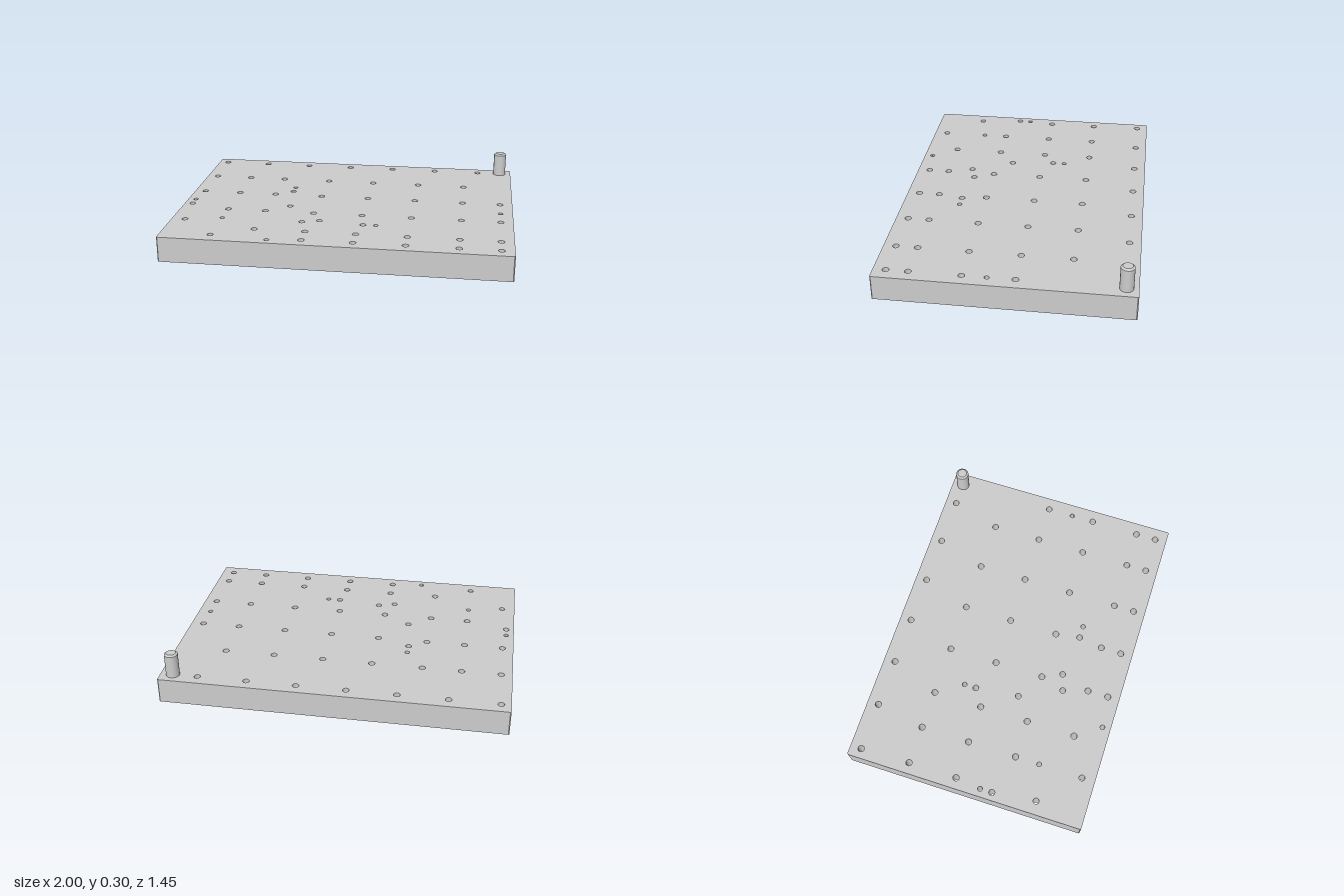
import * as THREE from 'three';
import { toCreasedNormals } from 'three/addons/utils/BufferGeometryUtils.js';

const W = 1, D = 0.724, H = 0.15, C = 0.006; // half width, half depth, thickness, corner chamfer

// Hole centres as [x, z, radius]
function holeList() {
  const R = 0.019, M = 0.017, S = 0.0145;
  const holes = [];
  // Back row, evenly spaced
  for (let i = 0; i < 7; i++) holes.push([-0.943 + i * 0.2875, -0.656, R]);
  // Main grid: each row uses a span of the shared columns
  const columns = [-0.935, -0.708, -0.48, -0.184, 0.108, 0.402, 0.696, 0.926];
  const rows = [[-0.356, 0, 7], [-0.062, 0, 8], [0.233, 1, 8], [0.527, 2, 8], [0.652, 3, 8]];
  for (const [z, from, to] of rows)
    for (const x of columns.slice(from, to)) holes.push([x, z, R]);
  // Single medium and small holes
  const medium = [[-0.376, -0.128], [-0.953, 0.166], [-0.346, 0.134], [-0.921, 0.428],
    [-0.229, 0.38], [-0.13, 0.35], [0.132, 0.38], [-0.708, 0.644]];
  const small = [[-0.376, -0.2], [-0.953, 0.094], [0.926, 0.094], [-0.708, 0.38],
    [0.207, 0.38], [-0.376, 0.674]];
  for (const [x, z] of medium) holes.push([x, z, M + 0.001]);
  for (const [x, z] of small) holes.push([x, z, S]);
  return holes;
}

export function createModel() {
  const model = new THREE.Group();
  model.name = 'drilledBasePlate';
  const material = new THREE.MeshStandardMaterial({ color: 0xcccccc });

  // Plate outline with tiny chamfered corners, drilled right through
  const outline = new THREE.Shape([
    [-W + C, -D], [W - C, -D], [W, -D + C], [W, D - C],
    [W - C, D], [-W + C, D], [-W, D - C], [-W, -D + C],
  ].map(([x, y]) => new THREE.Vector2(x, y)));
  for (const [x, z, r] of holeList()) {
    const hole = new THREE.Path();
    hole.absarc(x, -z, r, 0, Math.PI * 2, true);
    outline.holes.push(hole);
  }
  const plateGeometry = new THREE.ExtrudeGeometry(outline, { depth: H, bevelEnabled: false, curveSegments: 12 });
  plateGeometry.rotateX(-Math.PI / 2);
  const plate = new THREE.Mesh(toCreasedNormals(plateGeometry, 0.7), material);
  plate.name = 'plate';
  model.add(plate);

  // Locating pin with a chamfered tip
  const profile = [[0, H - 0.02], [0.039, H - 0.02], [0.039, 0.287], [0.028, 0.296], [0, 0.296]]
    .map(([x, y]) => new THREE.Vector2(x, y));
  const pin = new THREE.Mesh(toCreasedNormals(new THREE.LatheGeometry(profile, 32), 0.5), material);
  pin.name = 'locatingPin';
  pin.position.set(0.926, 0, -0.656);
  model.add(pin);

  return model;
}
